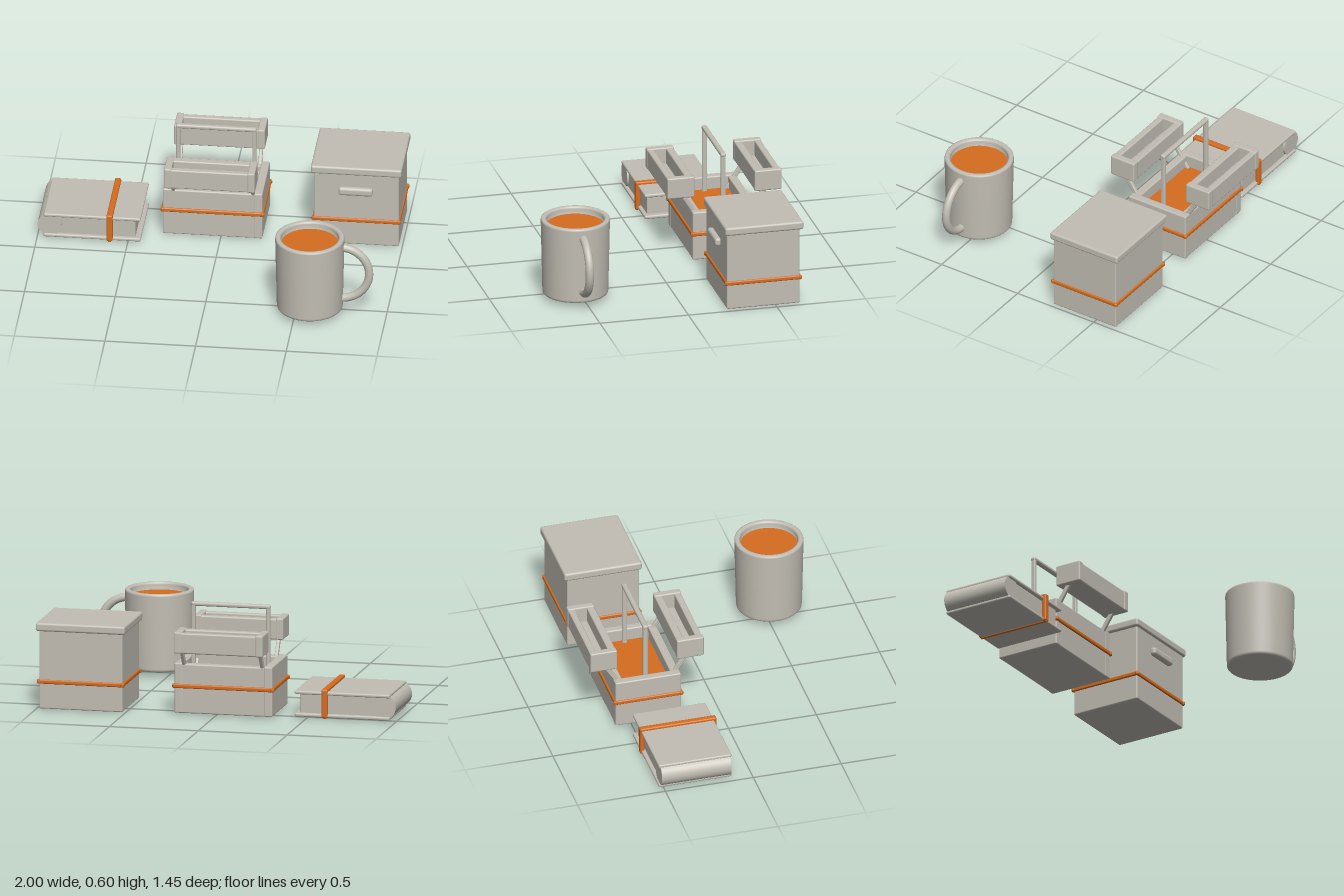
import * as THREE from 'three';
import { RoundedBoxGeometry } from 'three/addons/geometries/RoundedBoxGeometry.js';

const grey = new THREE.MeshStandardMaterial({ color: 0xc2beb4 });
grey.name = 'warmGrey';
const orange = new THREE.MeshStandardMaterial({ color: 0xd56d1f });
orange.name = 'orange';

function group(name, parent) {
  const g = new THREE.Group();
  g.name = name;
  parent.add(g);
  return g;
}

function add(parent, name, geometry, material, x = 0, y = 0, z = 0) {
  const m = new THREE.Mesh(geometry, material);
  m.name = name;
  m.position.set(x, y, z);
  parent.add(m);
  return m;
}

// Softly rounded block given by its min and max on each axis
function block(parent, name, [x0, x1], [y0, y1], [z0, z1], material = grey, r = 0.008) {
  const w = x1 - x0, h = y1 - y0, d = z1 - z0;
  const radius = Math.min(r, w * 0.45, h * 0.45, d * 0.45);
  return add(parent, name, new RoundedBoxGeometry(w, h, d, 2, radius), material,
    (x0 + x1) / 2, (y0 + y1) / 2, (z0 + z1) / 2);
}

// Four bars running round a rectangular body
function band(parent, [x0, x1], y, [z0, z1]) {
  const g = group('band', parent), t = 0.012, o = 0.006;
  for (const z of [z0, z1]) block(g, 'bandLong', [x0 - o - t / 2, x1 + o + t / 2], [y - t, y + t], [z - t / 2 - 0.002, z + t / 2 + 0.002], orange);
  for (const x of [x0, x1]) block(g, 'bandShort', [x - t / 2 - 0.002, x + t / 2 + 0.002], [y - t, y + t], [z0 - o - t / 2, z1 + o + t / 2], orange);
}

function makeBook(root) {
  const g = group('book', root);
  block(g, 'bottomCover', [-0.965, -0.43], [0.005, 0.025], [-0.527, -0.113]);
  block(g, 'topCover', [-0.965, -0.43], [0.13, 0.15], [-0.527, -0.113]);
  block(g, 'pages', [-0.94, -0.46], [0.022, 0.133], [-0.505, -0.133], grey, 0.003);
  const spine = add(g, 'spine', new THREE.CylinderGeometry(0.066, 0.066, 0.395, 40), grey, -0.932, 0.078, -0.32);
  spine.rotation.x = Math.PI / 2;
  // Strap wrapped round the closed covers
  const s = group('strap', g), x = [-0.617, -0.583];
  block(s, 'strapTop', x, [0.143, 0.165], [-0.533, -0.1]);
  block(s, 'strapBottom', [-0.608, -0.592], [0, 0.012], [-0.53, -0.102], orange, 0.003);
  for (const z of [[-0.535, -0.51], [-0.128, -0.1]]) block(s, 'strapSide', x, [0.004, 0.163], z, orange);
  s.children[0].material = orange;
}

function makeToolbox(root) {
  const g = group('toolbox', root);
  const cz = -0.405, X = [-0.32, 0.23];
  // Base with end walls, long walls and a coloured lining
  block(g, 'base', [-0.315, 0.225], [0.008, 0.05], [-0.587, -0.223]);
  block(g, 'endWall', [X[0], -0.272], [0.008, 0.287], [-0.592, -0.218]);
  block(g, 'endWall', [0.183, X[1]], [0.008, 0.287], [-0.592, -0.218]);
  for (const s of [-1, 1]) {
    const a = cz + s * 0.137, b = cz + s * 0.185;
    block(g, 'longWall', [-0.285, 0.195], [0.008, 0.283], [Math.min(a, b), Math.max(a, b)]);
  }
  block(g, 'lining', [-0.275, 0.187], [0.19, 0.215], [cz - 0.14, cz + 0.14], orange, 0.002);
  band(g, X, 0.16, [-0.592, -0.218]);

  // Carrying handle
  const h = group('handle', g);
  for (const x of [-0.255, 0.165]) block(h, 'handlePost', [x - 0.011, x + 0.011], [0.2, 0.596], [cz - 0.014, cz + 0.014]);
  block(h, 'handleBar', [-0.268, 0.178], [0.574, 0.598], [cz - 0.015, cz + 0.015], grey, 0.01);

  // Raised trays, front and back, each on two slanted struts
  for (const s of [-1, 1]) {
    const t = group(s > 0 ? 'frontTray' : 'backTray', g);
    const span = (p, q) => [cz + Math.min(s * p, s * q), cz + Math.max(s * p, s * q)];
    block(t, 'trayFloor', [-0.285, 0.19], [0.367, 0.395], span(0.175, 0.318));
    block(t, 'trayInnerWall', [-0.275, 0.18], [0.368, 0.482], span(0.172, 0.215));
    block(t, 'trayOuterWall', [-0.275, 0.18], [0.368, 0.482], span(0.283, 0.32));
    for (const x of [[-0.298, -0.257], [0.162, 0.203]]) block(t, 'trayEnd', x, [0.367, 0.487], span(0.17, 0.323));
    for (const x of [-0.262, 0.178]) {
      const strut = add(t, 'strut', new RoundedBoxGeometry(0.02, 0.235, 0.026, 2, 0.006), grey, x, 0.295, cz + s * 0.18);
      strut.rotation.x = s * Math.atan(0.63);
    }
  }
}

function makeStorageBox(root) {
  const g = group('storageBox', root);
  block(g, 'boxBody', [0.513, 0.982], [0.005, 0.45], [-0.633, -0.222]);
  block(g, 'lid', [0.497, 0.998], [0.44, 0.487], [-0.652, -0.21], grey, 0.012);
  block(g, 'boxPull', [0.65, 0.84], [0.32, 0.368], [-0.23, -0.192], grey, 0.016);
  band(g, [0.513, 0.982], 0.157, [-0.633, -0.222]);
}

function makeMug(root) {
  const g = group('mug', root);
  g.position.set(0.577, 0, 0.533);
  // Tapered wall with rounded foot and rim, closed down the inside
  const profile = [[0, 0.028], [0.168, 0.028], [0.175, 0.03], [0.18, 0.036], [0.181, 0.045], [0.19, 0.452],
    [0.188, 0.461], [0.182, 0.465], [0.168, 0.465], [0.161, 0.461], [0.158, 0.452], [0.157, 0.4], [0, 0.4]];
  add(g, 'mugWall', new THREE.LatheGeometry(profile.map(p => new THREE.Vector2(...p)), 64), grey);
  const drink = add(g, 'drink', new THREE.CircleGeometry(0.158, 64), orange, 0, 0.425, 0);
  drink.rotation.x = -Math.PI / 2;
  const handle = add(g, 'mugHandle', new THREE.TorusGeometry(0.158, 0.023, 16, 40, Math.PI), grey, 0.169, 0.25, 0);
  handle.rotation.z = -Math.PI / 2;
}

export function createModel() {
  const root = new THREE.Group();
  root.name = 'deskSet';
  makeBook(root);
  makeToolbox(root);
  makeStorageBox(root);
  makeMug(root);
  return root;
}
